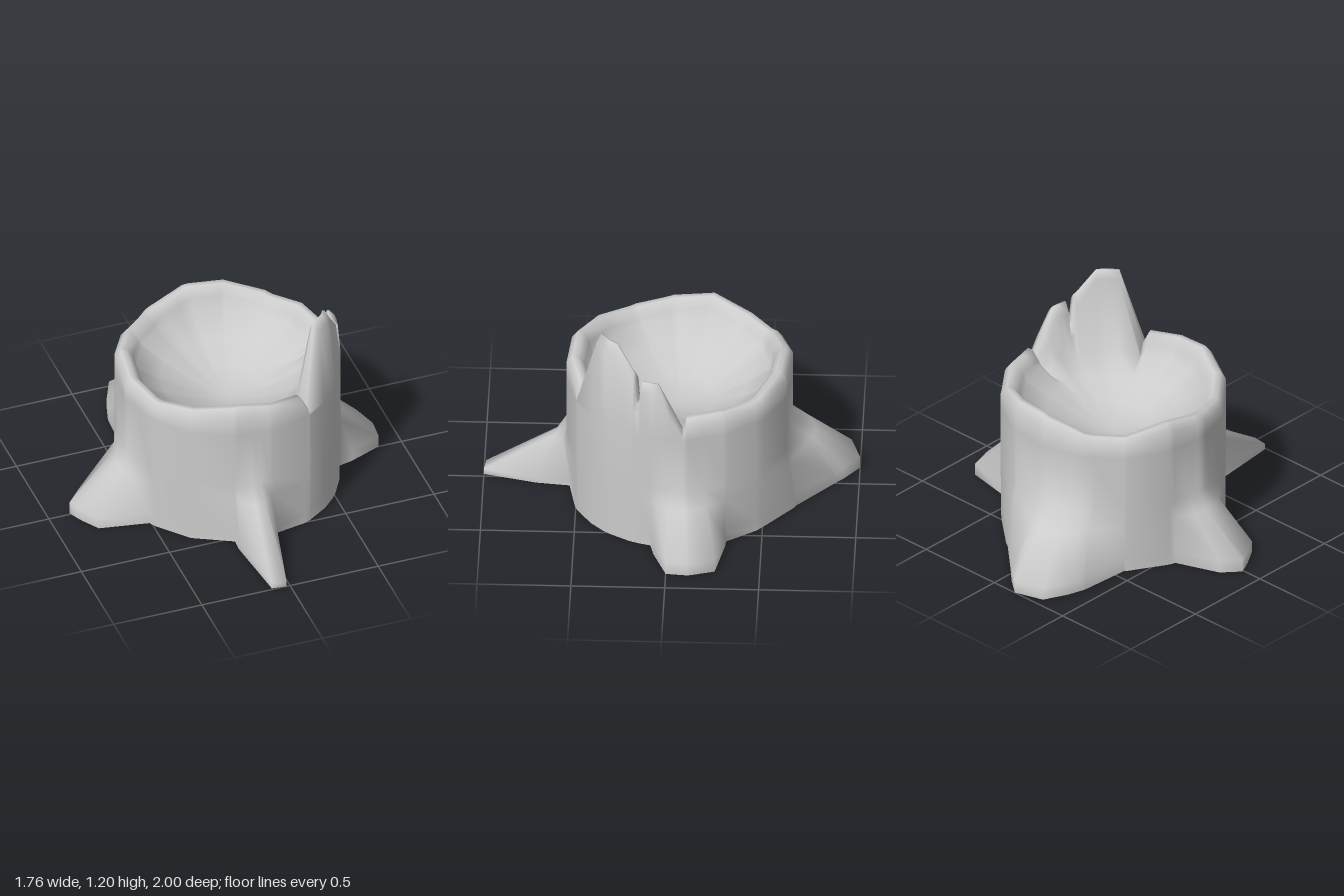
import * as THREE from 'three';
import { toCreasedNormals } from 'three/addons/utils/BufferGeometryUtils.js';

const CX = 0.03, CZ = -0.045, R = 0.605;
const SIDE = 22.5, TURN = -5; // the trunk has 16 sides, one corner at -5 degrees

// Outline on the ground: four roots joined by short runs of trunk [x, z]
const footprint = [
  [0.42, -0.5], [0.21, -0.675], [0.0, -0.87], [-0.15, -1.0], [-0.31, -0.95], [-0.4, -0.72], [-0.42, -0.44],
  [-0.56, -0.19], [-0.8, -0.1], [-0.88, -0.01], [-0.78, 0.17], [-0.51, 0.22],
  [-0.35, 0.42], [-0.14, 0.53], [-0.1, 0.99], [-0.02, 1.0], [0.05, 0.72], [0.07, 0.54],
  [0.3, 0.49], [0.48, 0.35], [0.61, 0.09], [0.87, 0.0], [0.88, -0.12], [0.84, -0.26], [0.56, -0.31],
].map(([x, z]) => [THREE.MathUtils.radToDeg(Math.atan2(z - CZ, x - CX)), Math.hypot(x - CX, z - CZ)]);

// Height of the broken rim by angle in degrees, with a small shard and the tall splinter from -3 to 64
const crown = [
  [-163, 0.86], [-140, 0.81], [-122, 0.81], [-92, 0.875], [-72, 0.865], [-45, 0.815], [-25, 0.83],
  [-6, 0.82], [-3.5, 0.75], [10, 1.02], [19, 1.025], [19.8, 0.88], [22.5, 0.89], [23.5, 1.06], [25, 1.07],
  [36.5, 1.2], [50, 1.2], [63.5, 0.75], [67, 0.82], [105, 0.865], [150, 0.8], [172, 0.82],
];

// How full the shoulder of a root is, and how thick its tip, by angle
const shoulder = [[-150, 0.18], [-115, 0.36], [-85, 0.38], [-45, 0.2], [60, 0.15], [150, 0.18]];
const tip = [[-150, 0.07], [60, 0.07], [85, 0.035], [110, 0.035], [140, 0.07]];

// Piecewise linear value around the full circle
function around(table) {
  const t = [...table].sort((a, b) => a[0] - b[0]);
  const first = t[0], last = t[t.length - 1];
  const loop = [[last[0] - 360, last[1]], ...t, [first[0] + 360, first[1]]];
  return (deg) => {
    const i = Math.max(1, loop.findIndex((p) => p[0] >= deg - 1e-9));
    const [a, b] = [loop[i - 1], loop[i]];
    return a[1] + (b[1] - a[1]) * (deg - a[0]) / (b[0] - a[0]);
  };
}

const footAt = around(footprint), topAt = around(crown), shoulderAt = around(shoulder), tipAt = around(tip);

// Radius factor that turns the round trunk into a 16-sided one
function facet(deg) {
  const offset = THREE.MathUtils.euclideanModulo(deg - TURN, SIDE) - SIDE / 2;
  return Math.cos(THREE.MathUtils.degToRad(SIDE / 2)) / Math.cos(THREE.MathUtils.degToRad(offset));
}

// Half section of the shell at one angle, from the ground over the rim down into the bowl
function section(deg) {
  const foot = footAt(deg), top = topAt(deg), f = facet(deg);
  const wall = R * f;
  const e = Math.max(0, foot - wall);
  const rise = Math.max(0, top - 0.87);
  const lean = rise * 0.1;
  const tall = Math.min(1, rise / 0.15);
  const crest = wall - 0.03 - lean;
  return [
    [foot, 0],
    [foot, tipAt(deg)],
    [wall + e * shoulderAt(deg), 0.28],
    [wall, 0.37],
    [wall, 0.7],
    [wall - lean, top - 0.04],
    [crest, top],
    [crest - 0.03 + 0.02 * tall, top],
    [(0.505 + 0.01 * tall) * f, top - 0.05],
    [0.485 * f, Math.min(0.73, top - 0.06)],
    [0.36 * f, 0.65],
    [0.2 * f, 0.57],
    [0, 0.52],
  ];
}

function stumpGeometry() {
  // Columns at every corner of the outline and the rim, then at the trunk's corners in the gaps
  const angles = [...footprint, ...crown].map((p) => p[0]);
  for (let d = TURN - 7 * SIDE; d < 180; d += SIDE) {
    if (angles.every((a) => Math.abs(a - d) > 1.5)) angles.push(d);
  }
  angles.sort((a, b) => a - b);

  const n = angles.length, rows = section(0).length;
  const position = [], index = [];
  for (const deg of angles) {
    const t = THREE.MathUtils.degToRad(deg);
    for (const [r, y] of section(deg)) position.push(CX + r * Math.cos(t), y, CZ + r * Math.sin(t));
  }
  for (let i = 0; i < n; i++) {
    for (let k = 0; k < rows - 1; k++) {
      const a = i * rows + k, b = ((i + 1) % n) * rows + k;
      if (k < rows - 2) index.push(a, a + 1, b + 1);
      index.push(a, b + 1, b);
    }
  }
  const geometry = new THREE.BufferGeometry();
  geometry.setAttribute('position', new THREE.Float32BufferAttribute(position, 3));
  geometry.setIndex(index);
  return toCreasedNormals(geometry, 1.6);
}

export function createModel() {
  const model = new THREE.Group();
  model.name = 'treeStump';
  const wood = new THREE.MeshStandardMaterial({ color: 0xcccccc, side: THREE.DoubleSide });

  // Hollow trunk with roots and splintered rim, open underneath
  const stump = new THREE.Mesh(stumpGeometry(), wood);
  stump.name = 'hollowTrunkWithRoots';
  model.add(stump);
  return model;
}
